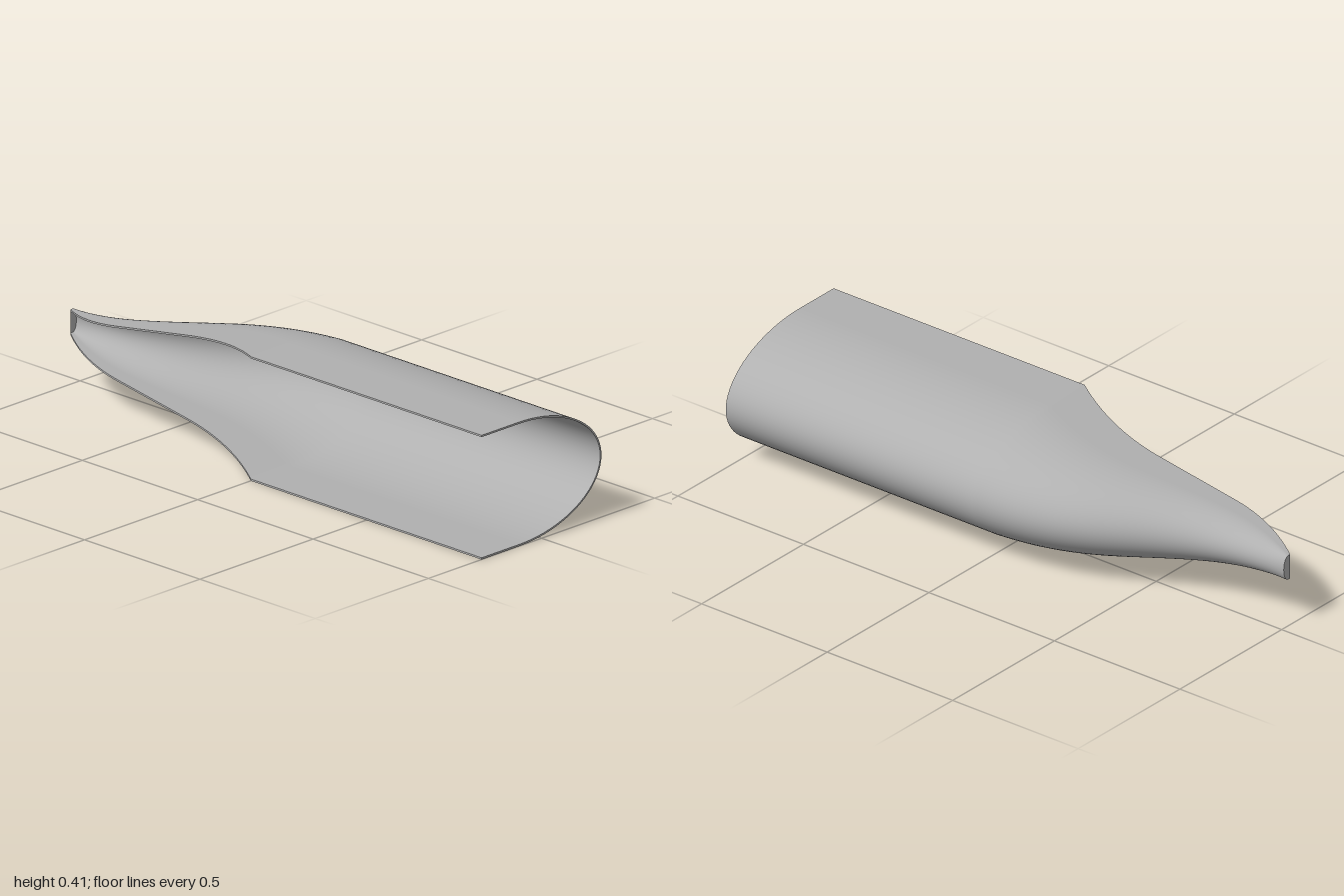
import * as THREE from 'three';

const MID = 0.205, WALL = 0.006, ARC = 40;

// Half height, back edge and front edge of the trough at station x
const halfHeight = x => x >= 0 ? 0.205 : 0.205 + 0.163 * x;

function backZ(x) {
  if (x >= 0) return -0.265;
  // S-curve: solve the Bezier parameter for x by bisection
  let lo = 0, hi = 1;
  for (let i = 0; i < 40; i++) {
    const t = (lo + hi) / 2, s = 1 - t;
    const bx = -s * s * s - 1.5 * s * s * t - 1.5 * s * t * t;
    if (bx < x) lo = t; else hi = t;
  }
  return 0.01 - 0.275 * lo * lo * (3 - 2 * lo);
}

function frontZ(x) {
  if (x >= 0) return 0.265;
  if (x > -0.4) return 0.142 + 0.123 * (1 + x / 0.4) ** 2;
  if (x > -0.7) return 0.142;
  return 0.142 - 0.1 * ((-0.7 - x) / 0.3) ** 2;
}

// U-shaped section from the upper front edge, round the back, to the lower front edge
function section(x, inset) {
  const f = frontZ(x), b = backZ(x), c = b + 0.69 * (f - b);
  const h = halfHeight(x) - inset, a = c - b - inset;
  const pts = [[x, MID + h, f]];
  for (let i = 0; i <= ARC; i++) {
    const t = Math.PI * i / ARC;
    pts.push([x, MID + h * Math.cos(t), c - a * Math.sin(t)]);
  }
  pts.push([x, MID - h, f]);
  return pts;
}

// Smooth surface through rows of points
function loft(rows, flip = false) {
  const n = rows[0].length, index = [];
  for (let i = 0; i < rows.length - 1; i++) {
    for (let j = 0; j < n - 1; j++) {
      const a = i * n + j, b = a + n;
      if (flip) index.push(a, a + 1, b, b, a + 1, b + 1);
      else index.push(a, b, a + 1, b, b + 1, a + 1);
    }
  }
  const g = new THREE.BufferGeometry();
  g.setAttribute('position', new THREE.Float32BufferAttribute(rows.flat(2), 3));
  g.setIndex(index);
  g.computeVertexNormals();
  return g;
}

export function createModel() {
  const group = new THREE.Group();
  group.name = 'taperedTrough';
  const grey = new THREE.MeshStandardMaterial({ color: 0xb0b0b0, side: THREE.DoubleSide });
  grey.name = 'grey';
  const add = (name, geometry) => {
    const mesh = new THREE.Mesh(geometry, grey);
    mesh.name = name;
    group.add(mesh);
  };

  // Stations along the length: fine over the taper, one long straight run
  const xs = [];
  for (let i = 0; i <= 60; i++) xs.push(-1 + i / 60);
  xs.push(0.02, 1);
  const outer = xs.map(x => section(x, 0));
  const inner = xs.map(x => section(x, WALL));

  add('outerShell', loft(outer));
  add('innerShell', loft(inner, true));

  // Thin rims joining the two skins
  const last = xs.length - 1, end = outer[0].length - 1;
  add('upperRim', loft([outer.map(r => r[0]), inner.map(r => r[0])]));
  add('lowerRim', loft([outer.map(r => r[end]), inner.map(r => r[end])], true));
  add('openEndRim', loft([outer[last], inner[last]]));

  // Flat plate closing the narrow tip
  const upper = outer[0].slice(0, ARC / 2 + 2);
  add('tipCap', loft([upper, upper.map(([x, y, z]) => [x, 2 * MID - y, z])]));

  return group;
}
